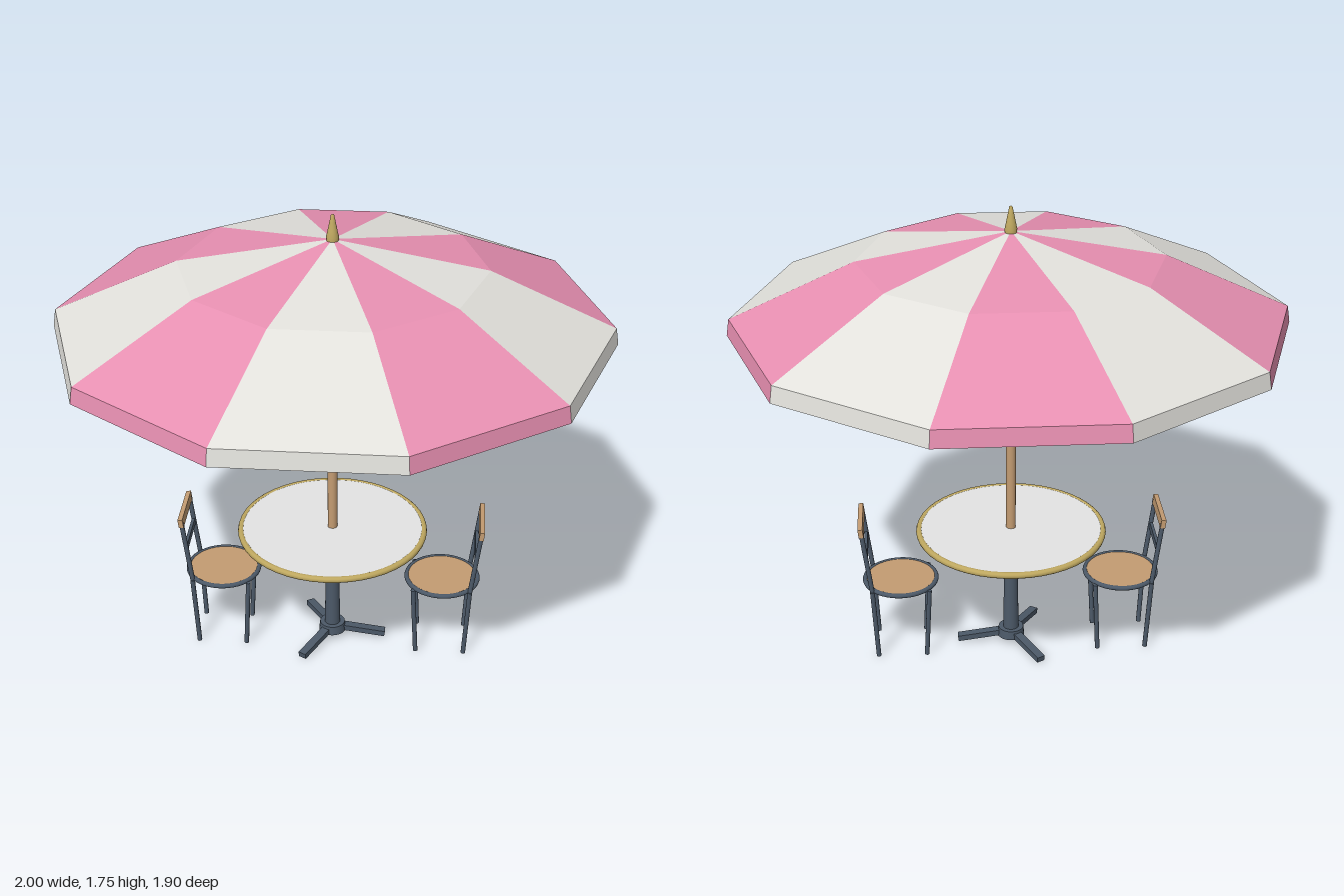
import * as THREE from 'three';

const mat = (name, color, side = THREE.FrontSide) => {
  const m = new THREE.MeshStandardMaterial({ color, side });
  m.name = name;
  return m;
};

export function createModel() {
  const pink = mat('canopyPink', 0xe890b2, THREE.DoubleSide);
  const cream = mat('canopyWhite', 0xe2e1dc, THREE.DoubleSide);
  const white = mat('tableWhite', 0xe4e4e4);
  const wood = mat('wood', 0xc49c72);
  const brass = mat('brass', 0xbfa860);
  const iron = mat('iron', 0x4c5968);

  const root = new THREE.Group();
  root.name = 'parasolTableSet';

  const add = (parent, name, geometry, material, x = 0, y = 0, z = 0) => {
    const mesh = new THREE.Mesh(geometry, material);
    mesh.name = name;
    mesh.position.set(x, y, z);
    parent.add(mesh);
    return mesh;
  };
  const lathe = (points, segments = 24) =>
    new THREE.LatheGeometry(points.map(([r, y]) => new THREE.Vector2(r, y)), segments);
  // Straight round bar between two points
  const bar = (parent, name, a, b, r, material) => {
    const from = new THREE.Vector3(...a), to = new THREE.Vector3(...b);
    const dir = to.clone().sub(from);
    const mesh = add(parent, name, new THREE.CylinderGeometry(r, r, dir.length(), 10), material);
    mesh.position.copy(from).add(to).multiplyScalar(0.5);
    mesh.quaternion.setFromUnitVectors(new THREE.Vector3(0, 1, 0), dir.normalize());
    return mesh;
  };
  const ring = (parent, name, R, r, material, y) => {
    const mesh = add(parent, name, new THREE.TorusGeometry(R, r, 10, 48), material, 0, y, 0);
    mesh.rotation.x = Math.PI / 2;
    return mesh;
  };

  // Canopy: ten faceted panels, each with a hanging valance
  const canopy = new THREE.Group();
  canopy.name = 'canopy';
  root.add(canopy);
  const profile = [[0, 1.663], [0.545, 1.564], [0.99, 1.362], [1.0, 1.302]];
  const sides = 10;
  for (let i = 0; i < sides; i++) {
    const a0 = (i / sides) * Math.PI * 2, a1 = ((i + 1) / sides) * Math.PI * 2;
    const at = ([r, y], a) => [r * Math.cos(a), y, r * Math.sin(a)];
    const pos = [];
    for (let j = 0; j < 3; j++) {
      const p = at(profile[j], a0), q = at(profile[j], a1);
      const s = at(profile[j + 1], a0), t = at(profile[j + 1], a1);
      pos.push(...p, ...t, ...s);
      if (j > 0) pos.push(...p, ...q, ...t);
    }
    const g = new THREE.BufferGeometry();
    g.setAttribute('position', new THREE.Float32BufferAttribute(pos, 3));
    g.computeVertexNormals();
    add(canopy, 'canopyPanel', g, i % 2 ? pink : cream);
  }

  // Pole, collar and finial
  add(root, 'pole', new THREE.CylinderGeometry(0.018, 0.018, 1.18, 20), wood, 0, 1.07, 0);
  add(root, 'collar', lathe([[0.018, 1.02], [0.022, 1.022], [0.025, 1.035], [0.025, 1.07],
    [0.022, 1.085], [0.018, 1.087]]), brass);
  add(root, 'finial', lathe([[0.021, 1.655], [0.022, 1.672], [0.017, 1.695], [0.011, 1.725],
    [0.006, 1.75], [0, 1.755]]), brass);

  // Round table with a brass rim
  add(root, 'tableTop', new THREE.CylinderGeometry(0.347, 0.347, 0.018, 48), white, 0, 0.49, 0);
  ring(root, 'tableRim', 0.345, 0.012, brass, 0.49);

  // Pedestal with hub and three sloping feet
  add(root, 'pedestal', new THREE.CylinderGeometry(0.023, 0.03, 0.43, 20), iron, 0, 0.268, 0);
  add(root, 'hub', new THREE.CylinderGeometry(0.048, 0.052, 0.035, 20), iron, 0, 0.043, 0);
  for (let i = 0; i < 3; i++) {
    const arm = new THREE.Group();
    arm.name = 'footArm';
    arm.rotation.y = (i * Math.PI * 2) / 3;
    root.add(arm);
    const foot = add(arm, 'foot', new THREE.BoxGeometry(0.19, 0.022, 0.032), iron, 0.111, 0.03, 0);
    foot.rotation.z = -0.13;
  }

  // Two chairs facing the table, backs outwards
  for (const side of [0, 1]) {
    const chair = new THREE.Group();
    chair.name = side ? 'rightChair' : 'leftChair';
    chair.position.x = side ? -0.42 : 0.42;
    chair.rotation.y = side * Math.PI;
    root.add(chair);
    add(chair, 'seat', new THREE.CylinderGeometry(0.134, 0.134, 0.01, 32), wood, 0, 0.294, 0);
    ring(chair, 'seatRing', 0.135, 0.009, iron, 0.293);
    for (const s of [-1, 1]) {
      bar(chair, 'frontLeg', [-0.107, 0.292, s * 0.101], [-0.092, 0.004, s * 0.09], 0.009, iron);
      bar(chair, 'backLeg', [0.107, 0.292, s * 0.101], [0.092, 0.004, s * 0.09], 0.009, iron);
      bar(chair, 'backPost', [0.107, 0.29, s * 0.097], [0.14, 0.545, s * 0.095], 0.009, iron);
    }
    const rail = add(chair, 'backRail', new THREE.BoxGeometry(0.012, 0.022, 0.19), iron, 0.126, 0.437, 0);
    const slat = add(chair, 'topSlat', new THREE.BoxGeometry(0.018, 0.034, 0.212), wood, 0.141, 0.545, 0);
    rail.rotation.z = slat.rotation.z = -0.13;
  }
  return root;
}
